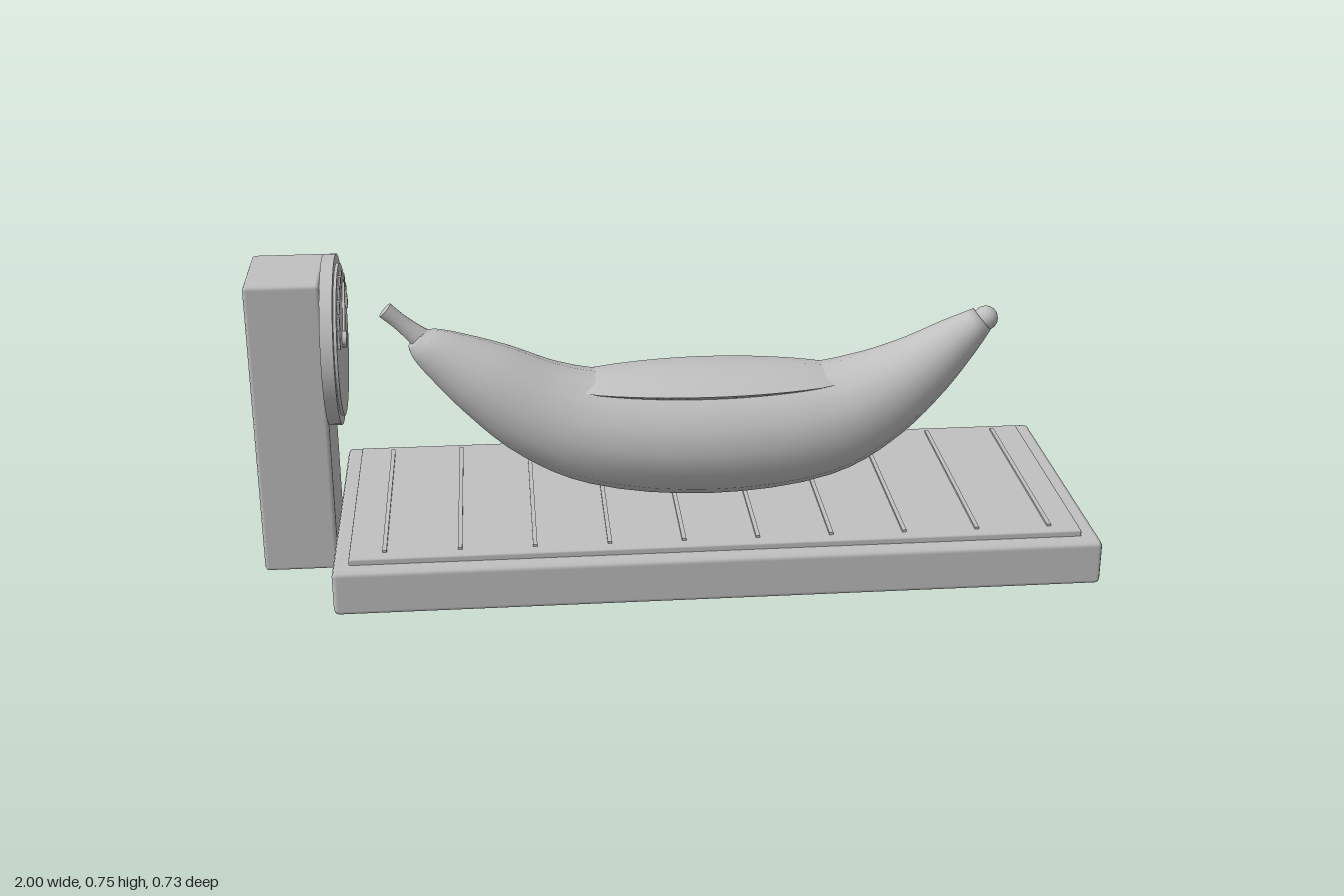
import * as THREE from 'three';
import { toCreasedNormals } from 'three/addons/utils/BufferGeometryUtils.js';
import { RoundedBoxGeometry } from 'three/addons/geometries/RoundedBoxGeometry.js';

const grey = new THREE.MeshStandardMaterial({ color: 0xc0c0c0 });
grey.name = 'plain grey';

function add(parent, name, geometry, x = 0, y = 0, z = 0) {
  const mesh = new THREE.Mesh(geometry, grey);
  mesh.name = name;
  mesh.position.set(x, y, z);
  parent.add(mesh);
  return mesh;
}

// Skin over closed rings of [x, y, z] points, capped at both ends
function loft(rings) {
  const n = rings[0].length, last = rings.length - 1, index = [];
  const points = rings.flat();
  const centre = ring => [0, 1, 2].map(k => ring.reduce((s, p) => s + p[k], 0) / n);
  const start = points.push(centre(rings[0])) - 1;
  const end = points.push(centre(rings[last])) - 1;
  for (let j = 0; j < n; j++) {
    const k = (j + 1) % n;
    for (let i = 0; i < last; i++) {
      const a = i * n + j, b = i * n + k;
      index.push(a, b, a + n, b, b + n, a + n);
    }
    index.push(start, k, j, end, last * n + j, last * n + k);
  }
  const geometry = new THREE.BufferGeometry();
  geometry.setAttribute('position', new THREE.Float32BufferAttribute(points.flat(), 3));
  geometry.setIndex(index);
  geometry.computeVertexNormals();
  return geometry;
}

// Round tube of varying radius along [x, y, radius] stations in the XY plane
function taperedTube(stations, steps, sides) {
  const curve = new THREE.CatmullRomCurve3(stations.map(s => new THREE.Vector3(...s)));
  const rings = [];
  for (let i = 0; i <= steps; i++) {
    const p = curve.getPoint(i / steps), t = curve.getTangent(i / steps);
    const len = Math.hypot(t.x, t.y), nx = -t.y / len, ny = t.x / len;
    rings.push(Array.from({ length: sides }, (_, j) => {
      const a = j / sides * Math.PI * 2, c = Math.cos(a) * p.z;
      return [p.x + nx * c, p.y + ny * c, Math.sin(a) * p.z];
    }));
  }
  return loft(rings);
}

function buildBanana() {
  const banana = new THREE.Group();
  banana.name = 'banana';
  add(banana, 'bananaBody', taperedTube([
    [-0.615, 0.548, 0.028], [-0.595, 0.53, 0.045], [-0.535, 0.49, 0.07], [-0.44, 0.428, 0.1],
    [-0.315, 0.35, 0.125], [-0.18, 0.302, 0.143], [0.09, 0.28, 0.155], [0.36, 0.302, 0.143],
    [0.49, 0.352, 0.12], [0.6, 0.42, 0.09], [0.7, 0.5, 0.058], [0.76, 0.55, 0.034],
  ], 44, 16));
  add(banana, 'stem', toCreasedNormals(taperedTube([
    [-0.58, 0.525, 0.032], [-0.615, 0.556, 0.025], [-0.65, 0.588, 0.02], [-0.685, 0.62, 0.021],
  ], 6, 12), 0.9));
  add(banana, 'tip', new THREE.SphereGeometry(0.03, 16, 12), 0.769, 0.553, 0);

  // Raised peel flap whose edges overhang the sides
  const rings = [];
  for (let i = 0; i <= 16; i++) {
    const t = i / 16, s = Math.sin(Math.PI * t) ** 0.7 || 0, x = -0.22 + 0.61 * t;
    const edge = 0.08 + 0.05 * s, crown = 0.442 + 0.016 * s, under = 0.42 - 0.03 * s;
    rings.push([
      [x, crown, 0], [x, crown - 0.009, edge * 0.55], [x, 0.421, edge], [x, under, 0.075],
      [x, under, -0.075], [x, 0.421, -edge], [x, crown - 0.009, -edge * 0.55],
    ]);
  }
  add(banana, 'peelFlap', toCreasedNormals(loft(rings), 0.7));
  return banana;
}

function buildDial() {
  const dial = new THREE.Group();
  dial.name = 'dial';
  dial.position.set(-0.81, 0.55, 0);
  add(dial, 'dialRim', new THREE.CylinderGeometry(0.204, 0.204, 0.03, 32).rotateZ(-Math.PI / 2));
  add(dial, 'dialFace', new THREE.CylinderGeometry(0.182, 0.182, 0.01, 32).rotateZ(-Math.PI / 2), 0.017);
  // Upright tick marks around the upper half
  for (let i = 0; i < 10; i++) {
    const a = THREE.MathUtils.degToRad(17 + i * 146 / 9);
    add(dial, 'tick', new THREE.BoxGeometry(0.008, 0.03, 0.012), 0.024, 0.151 * Math.sin(a), 0.151 * Math.cos(a));
  }
  // Tapered needle
  const needle = new THREE.Shape([[-0.009, -0.02], [0.009, -0.02], [0.003, 0.157], [-0.003, 0.157]]
    .map(p => new THREE.Vector2(...p)));
  const blade = new THREE.ExtrudeGeometry(needle, { depth: 0.006, bevelEnabled: false });
  blade.rotateZ(-0.69).rotateY(Math.PI / 2);
  add(dial, 'needle', blade, 0.022);
  add(dial, 'needleHub', new THREE.CylinderGeometry(0.02, 0.02, 0.012, 16).rotateZ(-Math.PI / 2), 0.026);
  return dial;
}

export function createModel() {
  const model = new THREE.Group();
  model.name = 'bananaScale';

  // Platform with a raised ribbed plate
  add(model, 'base', new RoundedBoxGeometry(1.815, 0.11, 0.726, 1, 0.012), 0.0875, 0.055, 0);
  add(model, 'plate', new RoundedBoxGeometry(1.735, 0.03, 0.645, 1, 0.005), 0.085, 0.11, 0);
  for (let i = 0; i < 10; i++) {
    add(model, 'plateRib', new THREE.BoxGeometry(0.01, 0.008, 0.585), -0.7 + i * 0.1755, 0.1265, 0);
  }

  // Column that carries the dial
  add(model, 'column', new RoundedBoxGeometry(0.176, 0.728, 0.24, 1, 0.01), -0.912, 0.364, 0);
  model.add(buildDial(), buildBanana());
  return model;
}
